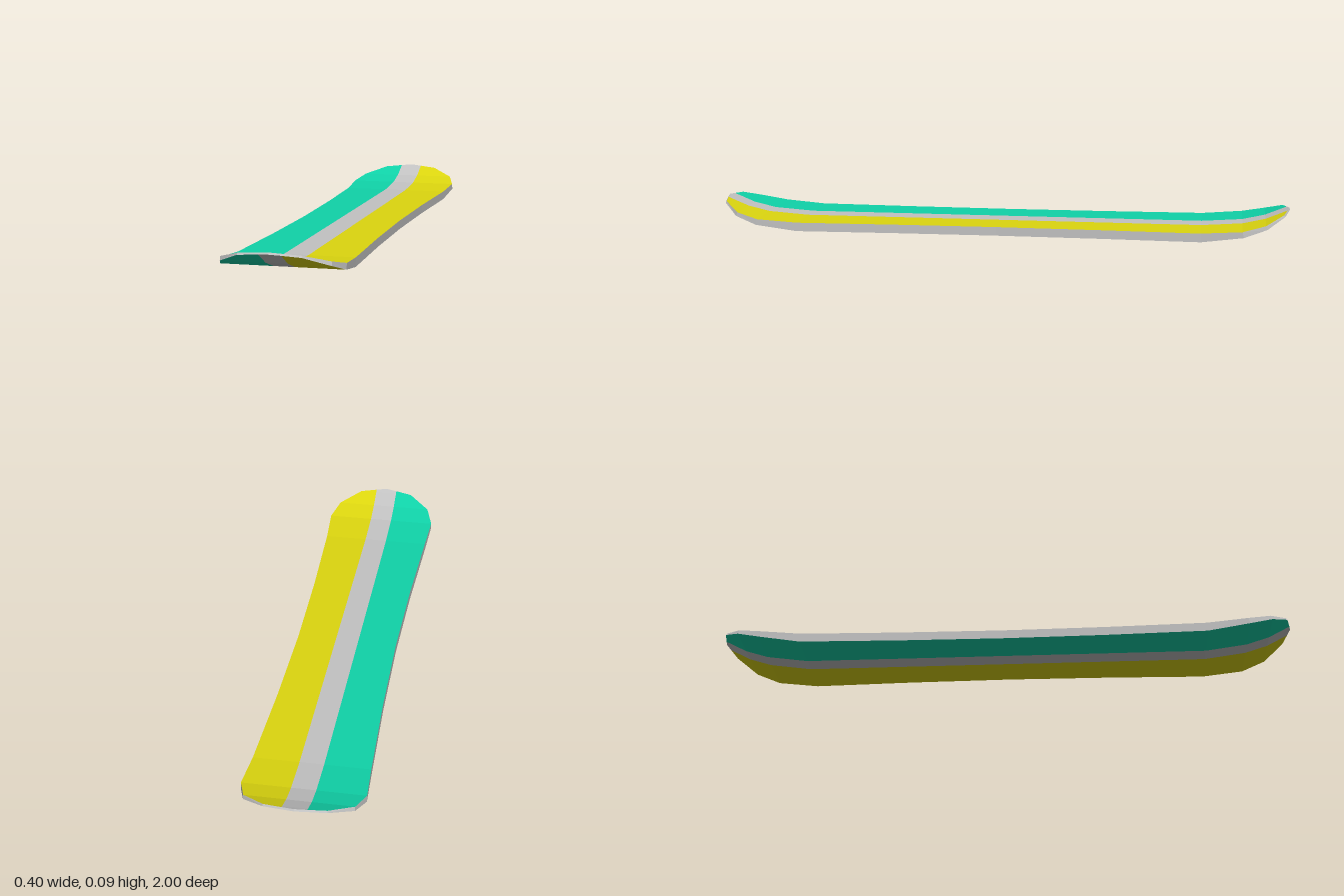
import * as THREE from 'three';

// Half of the board, centre to tip: [z bottom, z top, half width, y bottom, y top]
const HALF = [
  [0, 0, 0.175, 0, 0.03],
  [0.35, 0.35, 0.18, 0, 0.03],
  [0.7, 0.697, 0.192, 0, 0.03],
  [0.843, 0.838, 0.2, 0.02, 0.04],
  [0.921, 0.916, 0.175, 0.045, 0.058],
  [0.981, 0.977, 0.1, 0.077, 0.083],
  [0.993, 0.989, 0.04, 0.083, 0.0885],
  [1, 0.996, 0, 0.086, 0.092],
];
const mirrored = HALF.slice(1).reverse().map(([zb, zt, w, yb, yt]) => [-zb, -zt, w, yb, yt]);
const STATIONS = [...mirrored, ...HALF];

// Flat-faced geometry from quads, each listed counter-clockwise from outside
function fromQuads(quads) {
  const pos = [];
  for (const [a, b, c, d] of quads) {
    for (const tri of [[a, b, c], [a, c, d]]) {
      const [p, q, r] = tri.map((v) => new THREE.Vector3(...v));
      if (q.sub(p).cross(r.sub(p)).length() > 1e-9) pos.push(...tri.flat());
    }
  }
  const g = new THREE.BufferGeometry();
  g.setAttribute('position', new THREE.Float32BufferAttribute(pos, 3));
  g.computeVertexNormals();
  return g;
}

// One lengthwise band of the deck or base between x0 and x1, clipped to the outline
function band(x0, x1, top) {
  const rows = STATIONS.map(([zb, zt, w, yb, yt]) =>
    [x0, x1].map((x) => [THREE.MathUtils.clamp(x, -w, w), top ? yt : yb, top ? zt : zb]));
  const quads = [];
  for (let i = 0; i < rows.length - 1; i++) {
    const [a, b] = rows[i], [c, d] = rows[i + 1];
    quads.push(top ? [a, c, d, b] : [a, b, d, c]);
  }
  return fromQuads(quads);
}

// Side wall following the outline on one side
function wall(side) {
  const quads = [];
  for (let i = 0; i < STATIONS.length - 1; i++) {
    const [b0, t0, b1, t1] = [STATIONS[i], STATIONS[i + 1]].flatMap(([zb, zt, w, yb, yt]) =>
      [[side * w, yb, zb], [side * w, yt, zt]]);
    quads.push(side > 0 ? [b0, t0, t1, b1] : [b0, b1, t1, t0]);
  }
  return fromQuads(quads);
}

export function createModel() {
  const paint = (name, color) => {
    const m = new THREE.MeshStandardMaterial({ color });
    m.name = name;
    return m;
  };
  const teal = paint('teal', 0x10d2a8);
  const grey = paint('grey', 0xc2c2c2);
  const yellow = paint('yellow', 0xdcd60f);

  const board = new THREE.Group();
  board.name = 'snowboard';
  const add = (name, geometry, material) => {
    const mesh = new THREE.Mesh(geometry, material);
    mesh.name = name;
    board.add(mesh);
  };

  // Coloured bands on the deck and the base
  for (const [side, top, edge] of [['deck', true, -0.04], ['base', false, -0.03]]) {
    add(side + 'RightBand', band(-1, edge, top), teal);
    add(side + 'Stripe', band(edge, 0.04, top), grey);
    add(side + 'LeftBand', band(0.04, 1, top), yellow);
  }

  // Edges
  add('leftEdge', wall(1), grey);
  add('rightEdge', wall(-1), grey);
  return board;
}
